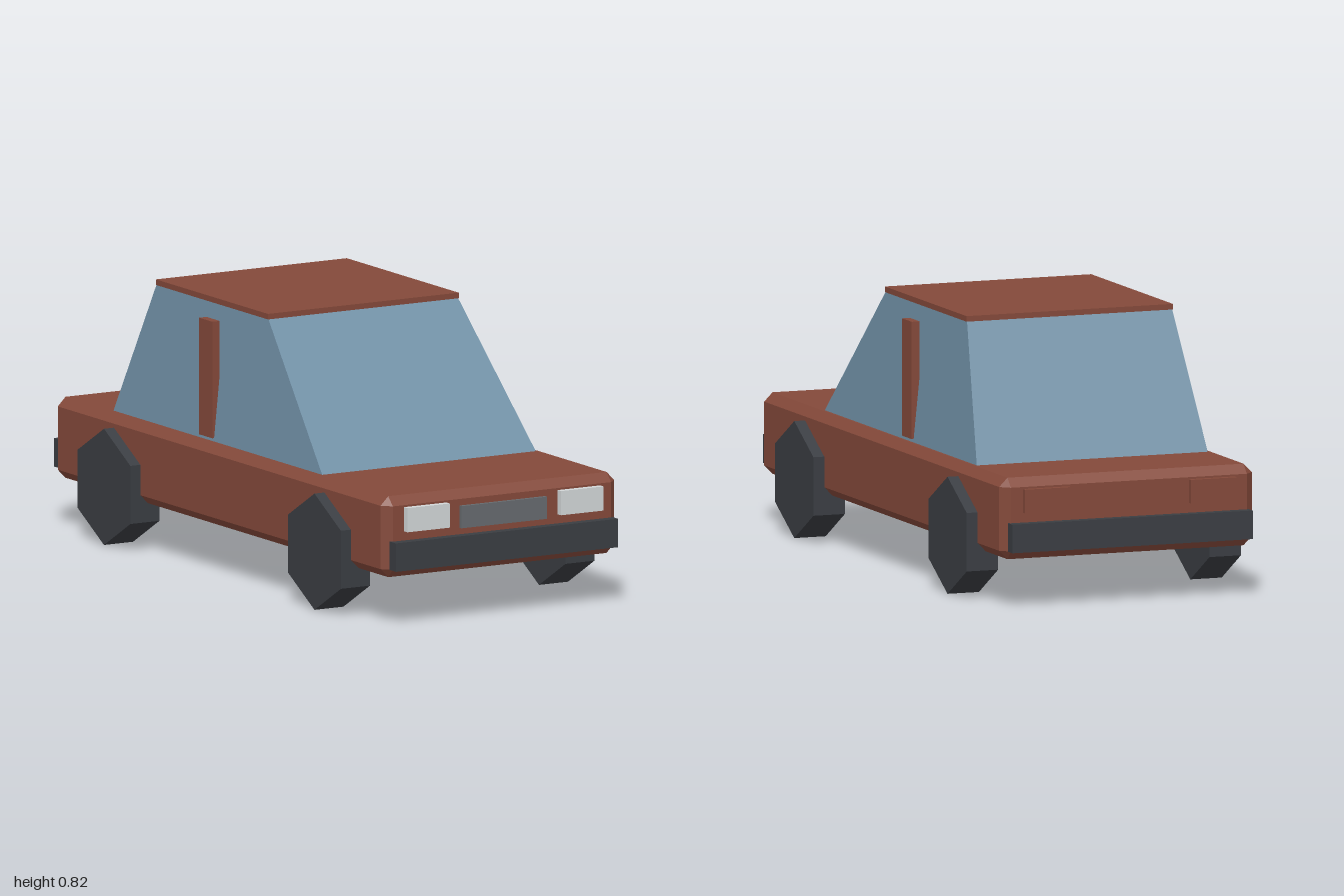
import * as THREE from 'three';
import { ConvexGeometry } from 'three/addons/geometries/ConvexGeometry.js';

const paint = (color) => new THREE.MeshStandardMaterial({ color, flatShading: true });

// Box with every edge cut flat by c
function chamferBox(w, h, d, c) {
  const half = [w / 2, h / 2, d / 2];
  const points = [];
  for (const sx of [-1, 1]) for (const sy of [-1, 1]) for (const sz of [-1, 1]) {
    for (let axis = 0; axis < 3; axis++) {
      const p = half.map((v, i) => (i === axis ? v : v - c));
      points.push(new THREE.Vector3(p[0] * sx, p[1] * sy, p[2] * sz));
    }
  }
  return new ConvexGeometry(points);
}

export function createModel() {
  const car = new THREE.Group();
  car.name = 'car';
  const red = paint(0x84493a);
  const glass = paint(0x7090a6);
  const dark = paint(0x3a3d42);
  const grey = paint(0x666a6e);
  const lamp = paint(0xd2d6d8);

  const add = (name, geometry, material, x = 0, y = 0, z = 0) => {
    const mesh = new THREE.Mesh(geometry, material);
    mesh.name = name;
    mesh.position.set(x, y, z);
    car.add(mesh);
    return mesh;
  };
  // Box given by its lower and upper bounds on each axis
  const block = (name, material, [x0, x1], [y0, y1], [z0, z1]) =>
    add(name, new THREE.BoxGeometry(x1 - x0, y1 - y0, z1 - z0), material,
      (x0 + x1) / 2, (y0 + y1) / 2, (z0 + z1) / 2);

  // Lower body
  add('body', chamferBox(0.82, 0.248, 1.94, 0.027), red, 0, 0.271, 0);

  // Tapered glass cabin: a box whose upper corners are drawn in
  const cabin = new THREE.BoxGeometry(1, 1, 1);
  const pos = cabin.attributes.position;
  for (let i = 0; i < pos.count; i++) {
    const top = pos.getY(i) > 0;
    const front = pos.getZ(i) > 0;
    pos.setXYZ(i,
      Math.sign(pos.getX(i)) * (top ? 0.333 : 0.375),
      top ? 0.805 : 0.393,
      top ? (front ? 0.16 : -0.495) : (front ? 0.545 : -0.677));
  }
  cabin.computeVertexNormals();
  add('cabinGlass', cabin, glass);
  block('roof', red, [-0.335, 0.335], [0.805, 0.822], [-0.495, 0.16]);

  // Front and rear trim
  block('frontBumper', dark, [-0.39, 0.39], [0.173, 0.26], [0.95, 1]);
  block('rearBumper', dark, [-0.39, 0.39], [0.173, 0.26], [-1, -0.95]);
  block('grille', grey, [-0.15, 0.15], [0.28, 0.348], [0.95, 0.982]);

  // Mirrored parts
  const wheel = new THREE.CylinderGeometry(0.178, 0.178, 0.102, 6);
  wheel.rotateY(Math.PI / 6).rotateZ(Math.PI / 2);
  for (const [side, s] of [['left', 1], ['right', -1]]) {
    const span = (a, b) => (s > 0 ? [a, b] : [-b, -a]);
    block(side + 'Headlight', lamp, span(0.195, 0.344), [0.288, 0.362], [0.95, 0.99]);
    block(side + 'TailLight', red, span(0.195, 0.344), [0.29, 0.362], [-0.987, -0.95]);
    block(side + 'DoorPillar', red, span(0.354, 0.38), [0.405, 0.762], [-0.167, -0.09]);
    add(side + 'FrontWheel', wheel, dark, s * 0.394, 0.178, 0.615);
    add(side + 'RearWheel', wheel, dark, s * 0.394, 0.178, -0.615);
  }
  return car;
}
